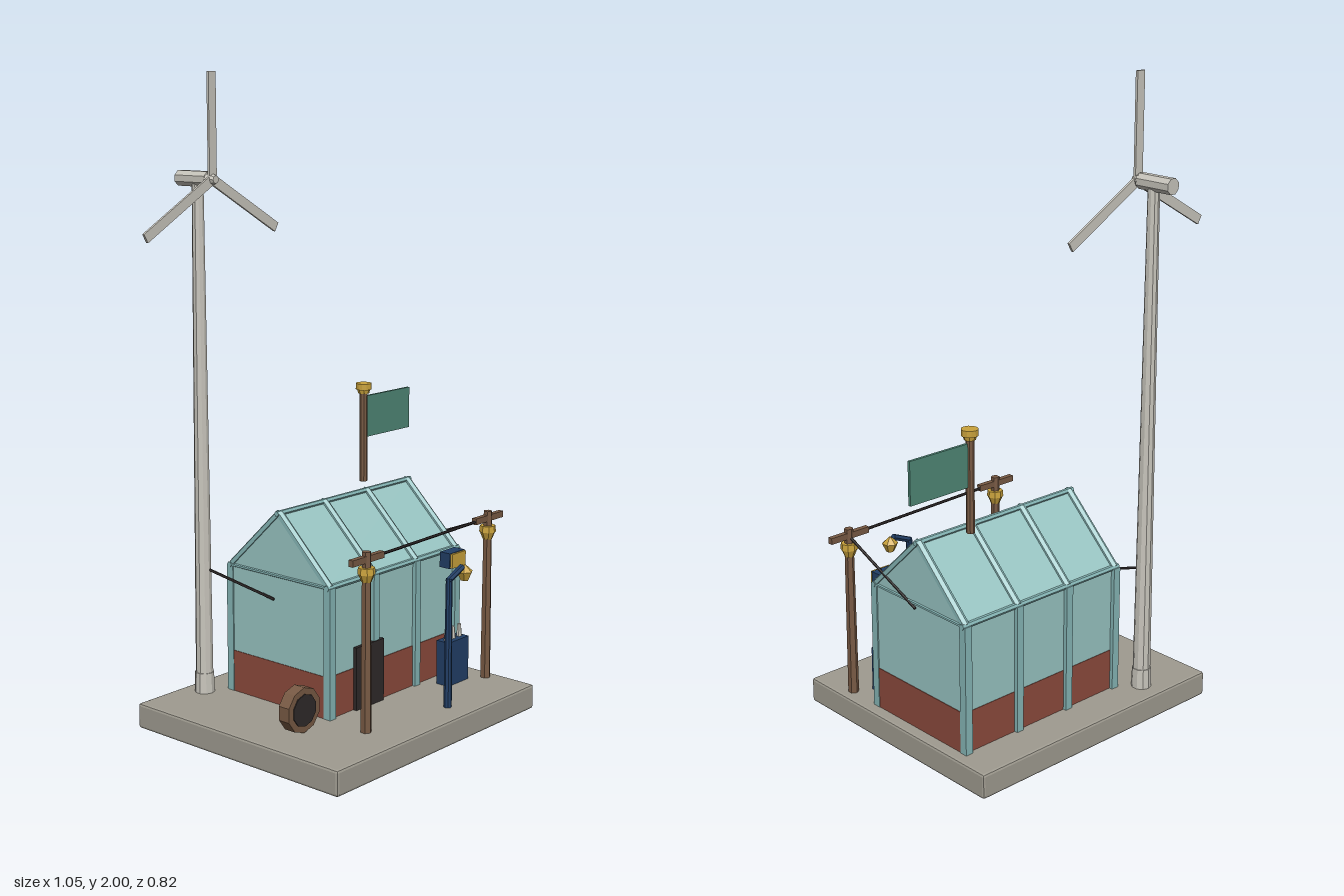
import * as THREE from 'three';
import { RoundedBoxGeometry } from 'three/addons/geometries/RoundedBoxGeometry.js';

const mat = (name, color) => {
  const m = new THREE.MeshStandardMaterial({ color, flatShading: true });
  m.name = name;
  return m;
};

export function createModel() {
  const concrete = mat('concrete', 0x9f9b90), paleMetal = mat('pale metal', 0xc8c5bc);
  const glass = mat('glass', 0x98c4c2), frame = mat('frame teal', 0x86b6b6);
  const brick = mat('brick', 0x8c4a3c), wood = mat('wood', 0x785a44);
  const dark = mat('dark', 0x2f2929), navy = mat('navy', 0x223f66);
  const gold = mat('gold', 0xc9a23c), green = mat('flag green', 0x4f8776);

  const root = new THREE.Group();
  const V = (x, y, z) => new THREE.Vector3(x, y, z);
  const group = (name, x = 0, y = 0, z = 0, parent = root) => {
    const g = new THREE.Group();
    g.name = name;
    g.position.set(x, y, z);
    parent.add(g);
    return g;
  };
  const add = (name, geo, m, x = 0, y = 0, z = 0, parent = root) => {
    const mesh = new THREE.Mesh(geo, m);
    mesh.name = name;
    mesh.position.set(x, y, z);
    parent.add(mesh);
    return mesh;
  };
  const box = (name, m, x, y, z, w, h, d, parent) =>
    add(name, new THREE.BoxGeometry(w, h, d), m, x, y, z, parent);
  const cyl = (name, m, x, y, z, rTop, rBottom, h, sides, parent) =>
    add(name, new THREE.CylinderGeometry(rTop, rBottom, h, sides), m, x, y, z, parent);
  // Round bar between two points
  const bar = (name, m, a, b, r, sides, parent) => {
    const mid = a.clone().add(b).multiplyScalar(0.5);
    const mesh = cyl(name, m, mid.x, mid.y, mid.z, r, r, a.distanceTo(b), sides, parent);
    mesh.quaternion.setFromUnitVectors(V(0, 1, 0), b.clone().sub(a).normalize());
    return mesh;
  };

  // Ground slab
  add('baseSlab', new RoundedBoxGeometry(0.95, 0.08, 0.82, 1, 0.008), concrete, 0.015, 0.04, 0);

  // Glass house: brick plinth, gabled glass body, teal frame
  const house = group('glassHouse');
  const x0 = -0.17, x1 = 0.44, zF = 0.125, zB = -0.28, zR = -0.077, eave = 0.49, ridge = 0.685;
  box('brickPlinth', brick, (x0 + x1) / 2, 0.145, zR, x1 - x0 + 0.022, 0.135, zF - zB + 0.004, house);
  const gable = new THREE.Shape([
    [-zF, 0.2], [-zB, 0.2], [-zB, eave], [-zR, ridge], [-zF, eave],
  ].map(([a, b]) => new THREE.Vector2(a, b)));
  const bodyGeo = new THREE.ExtrudeGeometry(gable, { depth: x1 - x0 + 0.018, bevelEnabled: false });
  bodyGeo.rotateY(Math.PI / 2);
  add('glassBody', bodyGeo, glass, x0 - 0.009, 0, 0, house);
  for (let i = 0; i < 4; i++) {
    const x = x0 + (x1 - x0) * i / 3;
    for (const z of [zF, zB]) {
      box('post', frame, x, 0.285, z, 0.026, 0.41, 0.026, house);
      bar('rafter', frame, V(x, eave, z), V(x, ridge, zR), 0.013, 6, house);
    }
  }
  for (const [z, y] of [[zF, eave], [zB, eave], [zR, ridge]])
    bar('longBeam', frame, V(x0 - 0.015, y, z), V(x1 + 0.015, y, z), 0.009, 6, house);
  for (const x of [x0 - 0.008, x1 + 0.008])
    bar('gableTie', frame, V(x, eave, zF), V(x, eave, zB), 0.006, 6, house);
  box('door', dark, 0, 0.18, 0.135, 0.13, 0.2, 0.012, house);

  // Wind turbine
  const turbine = group('windTurbine', -0.245, 0, -0.335);
  cyl('towerFoot', paleMetal, 0, 0.11, 0, 0.03, 0.032, 0.07, 10, turbine);
  cyl('tower', paleMetal, 0, 0.875, 0, 0.018, 0.028, 1.6, 10, turbine);
  const nacelle = cyl('nacelle', paleMetal, 0, 1.685, -0.012, 0.025, 0.025, 0.125, 8, turbine);
  nacelle.rotation.set(Math.PI / 2, Math.PI / 8, 0);
  const rotor = group('rotor', 0, 1.685, 0.063, turbine);
  const hub = cyl('hub', paleMetal, 0, 0, 0, 0.012, 0.024, 0.03, 8, rotor);
  hub.rotation.x = Math.PI / 2;
  for (let i = 0; i < 3; i++) {
    const blade = group('blade', 0, 0, 0, rotor);
    box('bladePlate', paleMetal, 0, 0.163, 0, 0.03, 0.304, 0.008, blade);
    blade.rotation.z = i * Math.PI * 2 / 3;
  }

  // Flag on the roof
  const flag = group('flag', 0.297, 0, -0.142);
  cyl('flagPole', wood, 0, 0.85, 0, 0.013, 0.013, 0.31, 8, flag);
  cyl('capNeck', gold, 0, 0.991, 0, 0.021, 0.018, 0.014, 8, flag);
  cyl('cap', gold, 0, 1.007, 0, 0.026, 0.026, 0.02, 12, flag);
  box('flagCloth', green, 0.12, 0.907, 0, 0.216, 0.135, 0.009, flag);

  // Utility poles
  for (const [x, z] of [[-0.178, 0.275], [0.446, 0.25]]) {
    const pole = group('utilityPole', x, 0, z);
    cyl('poleShaft', wood, 0, 0.353, 0, 0.014, 0.017, 0.556, 6, pole);
    box('crossArm', wood, 0, 0.609, 0, 0.142, 0.02, 0.017, pole);
    cyl('collar', gold, 0, 0.574, 0, 0.025, 0.027, 0.02, 8, pole);
    cyl('collarLower', gold, 0, 0.552, 0, 0.025, 0.015, 0.024, 8, pole);
  }

  // Cables
  bar('poleCable', dark, V(-0.178, 0.608, 0.275), V(0.446, 0.608, 0.25), 0.0045, 6);
  bar('houseCable', dark, V(0.445, 0.605, 0.25), V(0.453, 0.476, -0.07), 0.0045, 6);
  bar('turbineCable', dark, V(-0.24, 0.48, -0.32), V(-0.184, 0.415, -0.09), 0.0045, 6);

  // Cable drum standing on its rim
  const drum = group('cableDrum', -0.311, 0.153, 0.13);
  drum.rotation.x = Math.PI / 2;
  cyl('drumRim', wood, 0, 0, 0, 0.07, 0.07, 0.04, 10, drum);
  cyl('drumCore', dark, 0, 0, 0, 0.05, 0.05, 0.046, 10, drum);

  // Transformer cabinet with insulators
  const cabinet = group('transformer', 0.342, 0, 0.196);
  box('cabinetBody', navy, 0, 0.151, 0, 0.104, 0.146, 0.048, cabinet);
  for (const x of [-0.033, 0, 0.033])
    cyl('insulator', paleMetal, x, 0.242, 0, 0.006, 0.01, 0.044, 6, cabinet);

  // Wall box with yellow face
  const wallBox = group('wallBox', 0.375, 0.475, 0);
  box('wallBoxBody', navy, 0, 0, 0.164, 0.076, 0.05, 0.04, wallBox);
  box('wallBoxFace', gold, 0, 0, 0.188, 0.07, 0.046, 0.008, wallBox);

  // Street lamp
  const lamp = group('streetLamp', 0.147, 0, 0.328);
  cyl('lampPost', navy, 0, 0.282, 0, 0.01, 0.013, 0.414, 8, lamp);
  bar('lampArm', navy, V(-0.005, 0.482, 0), V(0.065, 0.512, 0), 0.01, 6, lamp);
  cyl('lampTop', gold, 0.078, 0.505, 0, 0.004, 0.026, 0.02, 6, lamp);
  cyl('lampBowl', gold, 0.078, 0.481, 0, 0.026, 0.013, 0.028, 6, lamp);

  return root;
}
